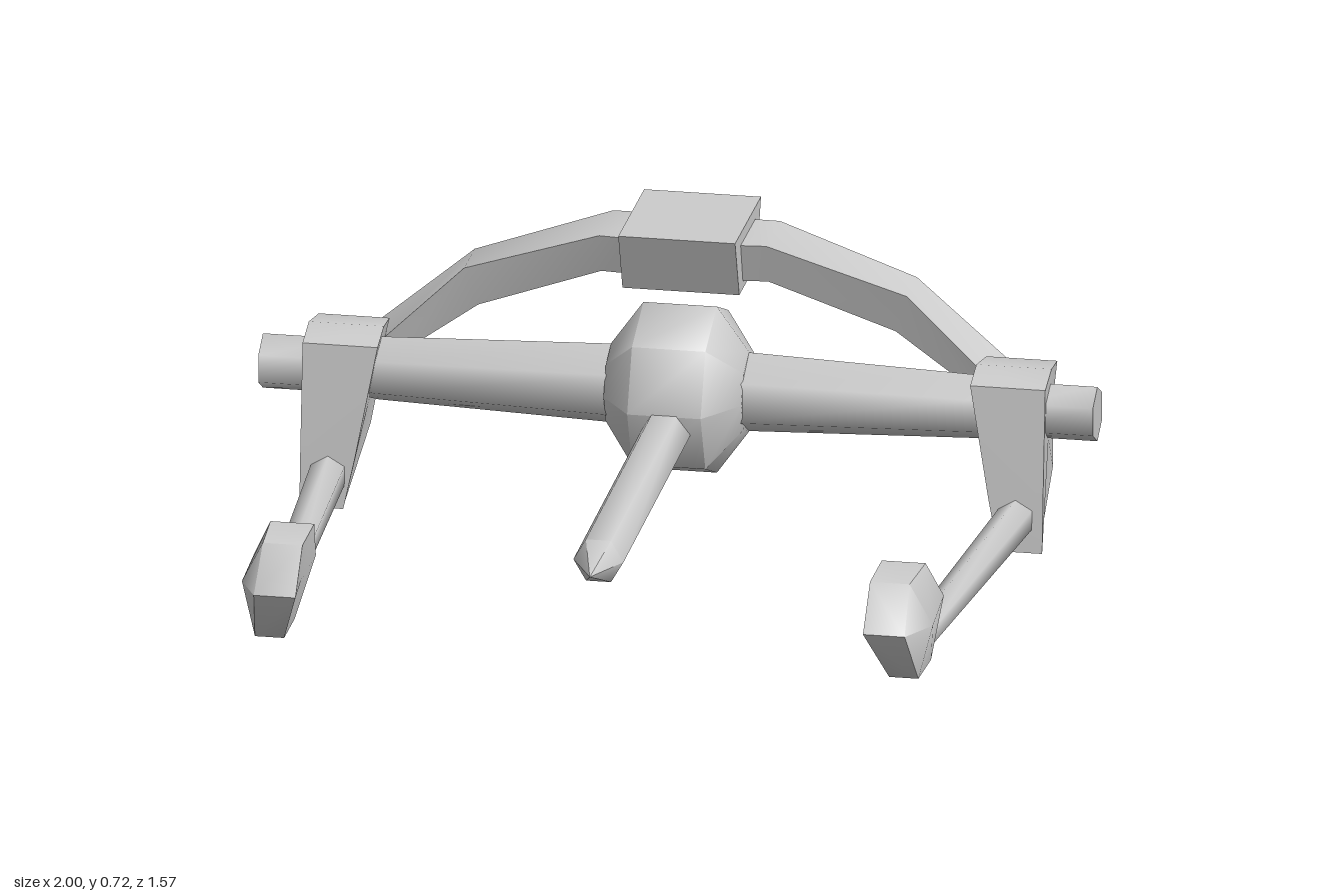
import * as THREE from 'three';
import { toCreasedNormals } from 'three/addons/utils/BufferGeometryUtils.js';

const material = new THREE.MeshStandardMaterial({ color: 0xcccccc });
const CREASE = 1.1;

function part(name, geometry) {
  const mesh = new THREE.Mesh(toCreasedNormals(geometry, CREASE), material);
  mesh.name = name;
  return mesh;
}

// Skin over rings running along +x (each ring goes top, front, bottom, back).
// side = -1 mirrors it; endApex raises the last cap to a point.
function loft(rings, side = 1, endApex = null) {
  const n = rings[0].length;
  const positions = [];
  const centre = ring => [0, 1, 2].map(k => ring.reduce((sum, p) => sum + p[k], 0) / n);
  const tri = (a, b, c) => {
    for (const p of side > 0 ? [a, b, c] : [a, c, b]) positions.push(p[0] * side, p[1], p[2]);
  };
  const first = rings[0], last = rings[rings.length - 1];
  const start = centre(first), end = endApex || centre(last);
  for (let i = 0; i < n; i++) {
    const j = (i + 1) % n;
    for (let r = 0; r + 1 < rings.length; r++) {
      const a = rings[r], b = rings[r + 1];
      tri(a[i], a[j], b[j]);
      tri(a[i], b[j], b[i]);
    }
    tri(start, first[j], first[i]);
    tri(end, last[i], last[j]);
  }
  const geometry = new THREE.BufferGeometry();
  geometry.setAttribute('position', new THREE.Float32BufferAttribute(positions, 3));
  geometry.computeVertexNormals();
  return geometry;
}

// Side profile of [z, y, innerX, outerX] made into a solid plate
function plate(profile, side, apex) {
  const inner = profile.map(([z, y, x]) => [x, y, z]);
  const outer = profile.map(([z, y, , x]) => [x, y, z]);
  return loft([inner, outer], side, apex);
}

// Turned solid from [radius, height] pairs
function turned(profile, sides, spin = 0) {
  return new THREE.LatheGeometry(profile.map(p => new THREE.Vector2(...p)), sides, spin);
}

// Six-sided rod from one point towards another; profile heights run along it
function rod(name, profile, from, to, spin) {
  const mesh = part(name, turned(profile, 6, spin).rotateX(Math.PI / 2));
  mesh.position.set(...from);
  mesh.lookAt(...to);
  return mesh;
}

// Trapezoid section of the bow: [x, top, bottom, front, back, bottom inset, front x shift, bottom x shift]
function bowSection([x, top, bottom, front, back, inset, skew = 0, under = 0]) {
  return [
    [x, top, back], [x - skew, top, front],
    [x - skew - under, bottom, front - inset], [x - under, bottom, back + inset],
  ];
}

export function createModel() {
  const model = new THREE.Group();

  // Cross axle, thickest beside the hub
  const axle = part('axle', turned([
    [0, -1], [0.068, -1], [0.068, -0.8], [0.079, -0.72], [0.1, -0.12],
    [0.1, 0.12], [0.079, 0.72], [0.068, 0.8], [0.068, 1], [0, 1],
  ], 6, Math.PI / 2).rotateZ(-Math.PI / 2));
  axle.position.set(0, 0.335, -0.5);
  model.add(axle);

  // Faceted round hub
  const hub = part('hub', turned([
    [0, -0.165], [0.1, -0.165], [0.208, -0.088], [0.208, 0.088], [0.1, 0.165], [0, 0.165],
  ], 8).rotateZ(-Math.PI / 2));
  hub.position.set(0, 0.335, -0.5);
  model.add(hub);

  // Pointed middle rod
  model.add(rod('centreRod', [[0, 0], [0.06, 0], [0.06, 0.94], [0, 1.05]],
    [0, 0.287, -0.4], [0, 0.27, 0.65], Math.PI / 6));

  // Block at the crown of the bow
  model.add(part('bowBlock', loft([-0.14, 0.14].map(
    x => bowSection([x, 0.72, 0.572, -0.455, -0.785, 0.054])))));

  for (const side of [1, -1]) {
    const group = new THREE.Group();
    group.name = side > 0 ? 'leftSide' : 'rightSide';

    // Curved bow limb
    group.add(part('bowLimb', loft([
      [0.1, 0.69, 0.592, -0.522, -0.712, 0.028],
      [0.2, 0.69, 0.592, -0.532, -0.71, 0.028],
      [0.53, 0.575, 0.478, -0.565, -0.7, 0.022, 0, 0.03],
      [0.785, 0.365, 0.325, -0.567, -0.677, 0.015, 0.04, 0.03],
    ].map(bowSection), side)));

    // Bracket on the axle, narrowing to the back and the foot
    group.add(part('bracket', plate([
      [-0.69, 0.39, 0.745, 0.855],
      [-0.6, 0.425, 0.715, 0.885],
      [-0.5, 0.44, 0.71, 0.89],
      [-0.42, 0.415, 0.71, 0.89],
      [-0.39, 0.14, 0.76, 0.89],
      [-0.38, 0.02, 0.785, 0.89],
      [-0.475, 0, 0.8, 0.865],
      [-0.57, 0.17, 0.755, 0.88],
      [-0.71, 0.31, 0.745, 0.855],
    ], side)));

    // Forward arm
    group.add(rod('arm', [[0, 0], [0.047, 0], [0.036, 1.02], [0, 1.02]],
      [0.827 * side, 0.098, -0.44], [0.765 * side, 0.133, 0.58]));

    // Faceted head, flat on the inside and ridged on the outside
    group.add(part('armHead', plate([
      [0.545, 0.32, 0.68, 0.785],
      [0.695, 0.32, 0.68, 0.775],
      [0.785, 0.22, 0.68, 0.78],
      [0.69, 0.083, 0.725, 0.795],
      [0.555, 0.083, 0.725, 0.8],
      [0.525, 0.235, 0.68, 0.825],
    ], side, [0.828, 0.215, 0.68])));

    model.add(group);
  }
  return model;
}
